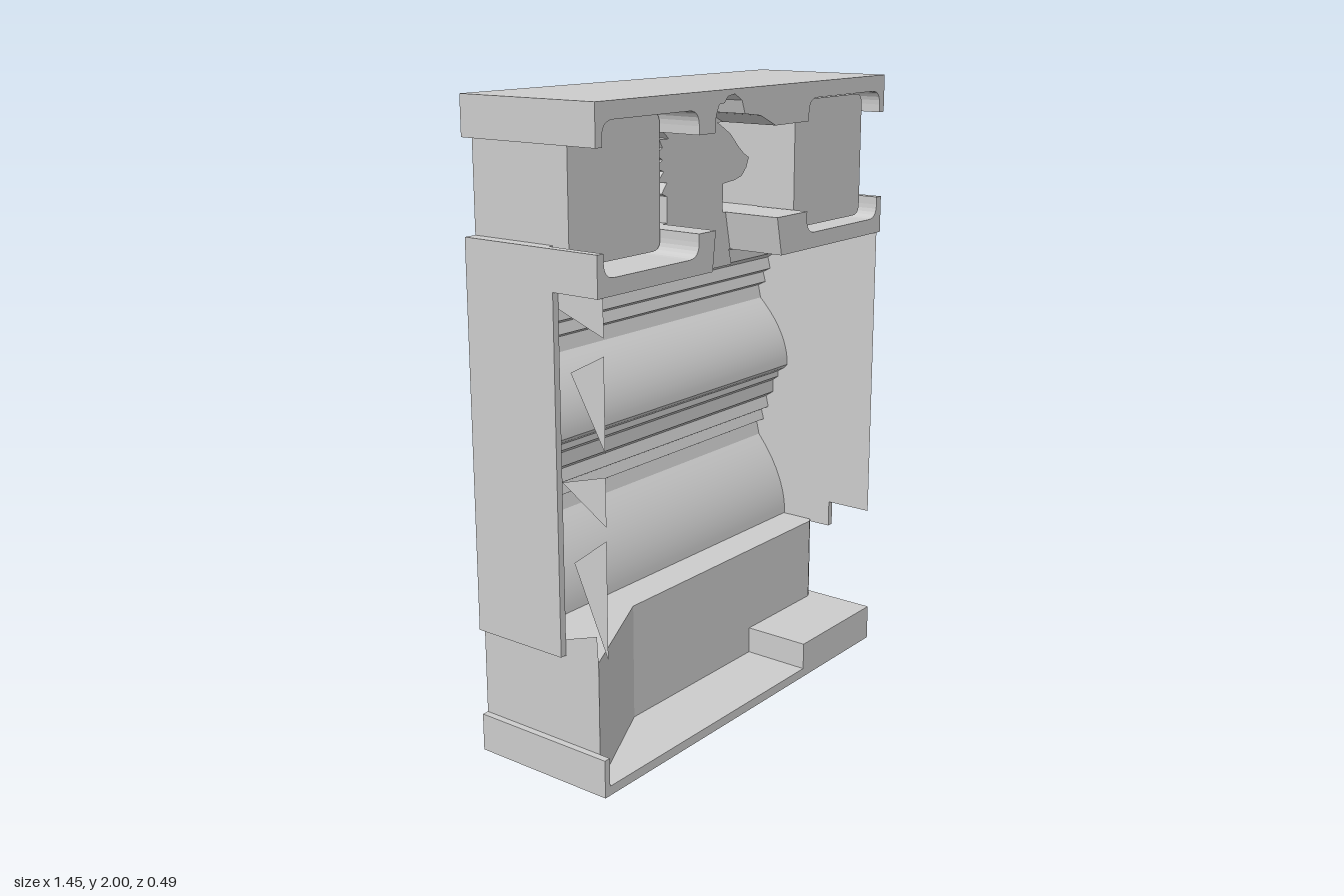
import * as THREE from 'three';
import { toCreasedNormals } from 'three/addons/utils/BufferGeometryUtils.js';

const W = 0.727, B = -0.247, F = 0.247, IN = 0.705;

export function createModel() {
  const model = new THREE.Group();
  const grey = new THREE.MeshStandardMaterial({ color: 0xcccccc, side: THREE.DoubleSide });
  grey.name = 'light grey';

  const add = (name, geometry) => {
    const mesh = new THREE.Mesh(geometry, grey);
    mesh.name = name;
    model.add(mesh);
  };
  const box = (name, x0, x1, y0, y1, z0, z1) => {
    const g = new THREE.BoxGeometry(x1 - x0, y1 - y0, z1 - z0);
    add(name, g.translate((x0 + x1) / 2, (y0 + y1) / 2, (z0 + z1) / 2));
  };
  const polygon = (pts) => new THREE.Shape(pts.map(([x, y]) => new THREE.Vector2(x, y)));
  const extrude = (shape, depth) =>
    new THREE.ExtrudeGeometry(shape, { depth, bevelEnabled: false, curveSegments: 6 });
  // Front-facing outline pushed from z0 to z1
  const slab = (name, shape, z0, z1) => add(name, extrude(shape, z1 - z0).translate(0, 0, z0));

  // Base with a low tray at the front
  box('baseFloor', -W, W, 0, 0.03, B, F);
  box('baseBack', -W, W, 0.03, 0.12, B, 0);
  box('baseRightBlock', 0.31, W, 0.03, 0.12, B, F);
  box('baseLip', -W, -IN, 0.03, 0.12, B, F);

  // Lower cabinet with an angled front
  const plan = [[-IN, B], [-IN, 0.21], [-0.32, 0.02], [0.68, 0.02], [0.7, 0.01], [0.7, B]];
  add('lowerCabinet', extrude(polygon(plan.map(([x, z]) => [x, -z])), 0.38)
    .rotateX(-Math.PI / 2).translate(0, 0.03, 0));

  // Moulded back panel: two swelling lobes, each under a stepped cornice
  const steps = [[0, -0.225], [0.045, -0.235], [0.06, -0.205], [0.095, -0.215], [0.11, -0.185],
    [0.15, -0.195], [0.17, -0.165], [0.215, -0.165], [0.23, -0.145], [0.25, -0.145],
    [0.265, -0.12], [0.28, -0.105]];
  const profile = [[-B, 0.4]];
  for (const [y0, y1] of [[0.405, 0.69], [0.97, 1.2]]) {
    for (let i = 0; i <= 10; i++) {
      const t = i / 10;
      profile.push([0.105 + 0.12 * t ** 2, y0 + (y1 - y0) * t]);
    }
    for (const [dy, z] of steps.slice(1)) profile.push([-z, y1 + dy]);
  }
  profile.push([0.105, 1.5], [-B, 1.5]);
  add('mouldedPanel', toCreasedNormals(
    extrude(polygon(profile), 2 * IN).rotateY(Math.PI / 2).translate(-IN, 0, 0), 0.4));

  // Side walls and back skin
  for (const s of [-1, 1]) {
    const [a, b] = s < 0 ? [-W, -IN] : [IN, W];
    box('sideWall', a, b, 0.4, 1.6, B, 0.085);
  }
  box('backSkin', -W, W, 0.4, 1.6, B, B + 0.008);

  // Flat cheek plates standing ahead of the side walls, given as [z, y]
  const cheek = (name, x, pts) =>
    add(name, new THREE.ShapeGeometry(polygon(pts.map(([z, y]) => [-z, y])))
      .rotateY(Math.PI / 2).translate(x, 0, 0));
  cheek('rightCheek', IN, [[0.085, 0.49], [F, 0.49], [F, 1.48], [0.085, 1.48]]);
  for (const pts of [
    [[F, 1.48], [F, 1.37], [0.085, 1.43], [0.085, 1.48]],
    [[F, 1.32], [F, 1.045], [0.125, 1.256]],
    [[F, 0.976], [F, 0.83], [0.085, 0.93]],
    [[F, 0.79], [F, 0.43], [0.125, 0.696]],
    [[0.21, 0.405], [0.205, 0.49], [0.085, 0.45], [0.085, 0.405]],
  ]) cheek('leftCheekPiece', -IN, pts);

  // Rails above and below the windows, with pockets cut in their front halves
  const Z = 0.05;
  box('topRailBack', -W, W, 1.88, 2, B, Z);
  box('middleRailBack', -W, W, 1.48, 1.6, B, Z);
  const notch = (s, x0, x1, edge, end) => {
    const r = 0.045, d = Math.sign(end - edge) * r;
    s.lineTo(x0, edge);
    s.lineTo(x0, end - d);
    s.quadraticCurveTo(x0, end, x0 + r, end);
    s.lineTo(x1 - r, end);
    s.quadraticCurveTo(x1, end, x1, end - d);
    s.lineTo(x1, edge);
  };
  const rail = (name, outer, edge, end, middle) => {
    const s = new THREE.Shape();
    s.moveTo(-W, outer);
    s.lineTo(-W, edge);
    notch(s, -0.7, -0.28, edge, end);
    middle.forEach(([x, y]) => s.lineTo(x, y));
    notch(s, 0.28, 0.7, edge, end);
    s.lineTo(W, edge);
    s.lineTo(W, outer);
    slab(name, s, Z, F);
  };
  rail('topRailFront', 2, 1.88, 1.95, [[-0.205, 1.88], [-0.2, 1.93], [-0.185, 1.96], [-0.16, 1.962],
    [-0.145, 1.98], [-0.11, 1.985], [-0.075, 1.965], [-0.06, 1.925], [0.02, 1.915], [0.1, 1.88]]);
  // The lower rail is split by the neck pocket
  for (const s of [-1, 1]) {
    const shape = new THREE.Shape();
    const inner = s < 0 ? [[-0.2, 1.6], [-0.215, 1.48]] : [[0.115, 1.6], [0.14, 1.48]];
    if (s < 0) {
      shape.moveTo(-W, 1.48);
      shape.lineTo(-W, 1.6);
      notch(shape, -0.7, -0.28, 1.6, 1.53);
      inner.forEach(([x, y]) => shape.lineTo(x, y));
    } else {
      shape.moveTo(...inner[1]);
      shape.lineTo(...inner[0]);
      notch(shape, 0.28, 0.7, 1.6, 1.53);
      shape.lineTo(W, 1.6);
      shape.lineTo(W, 1.48);
    }
    slab('middleRailFront', shape, Z, F);
  }

  // Rounded window blocks
  const block = (x0, x1, z1) => {
    const s = new THREE.Shape(), y0 = 1.54, y1 = 1.94, r = 0.035;
    s.moveTo(x0 + r, y0);
    s.lineTo(x1 - r, y0);
    s.quadraticCurveTo(x1, y0, x1, y0 + r);
    s.lineTo(x1, y1 - r);
    s.quadraticCurveTo(x1, y1, x1 - r, y1);
    s.lineTo(x0 + r, y1);
    s.quadraticCurveTo(x0, y1, x0, y1 - r);
    s.lineTo(x0, y0 + r);
    s.quadraticCurveTo(x0, y0, x0 + r, y0);
    slab('windowBlock', s, B, z1);
  };
  block(-0.685, -0.288, 0.11);
  block(0.288, 0.68, 0.19);

  // Crested bird head on a flared neck, cut through the depth
  slab('birdHead', polygon([
    [-0.21, 1.43], [0.148, 1.43], [0.1, 1.61], [0.1, 1.69], [0.16, 1.695], [0.2, 1.705],
    [0.225, 1.73], [0.238, 1.76], [0.21, 1.775], [0.18, 1.8], [0.14, 1.84], [0.09, 1.87],
    [0.03, 1.9], [-0.06, 1.915], [-0.08, 1.955], [-0.11, 1.975], [-0.14, 1.97], [-0.155, 1.95],
    [-0.185, 1.945], [-0.2, 1.91], [-0.195, 1.87], [-0.17, 1.85], [-0.215, 1.85], [-0.2, 1.825],
    [-0.235, 1.81], [-0.2, 1.79], [-0.235, 1.77], [-0.195, 1.755], [-0.225, 1.725],
    [-0.18, 1.72], [-0.205, 1.69], [-0.18, 1.68], [-0.18, 1.6],
  ]), B, Z);

  return model;
}
